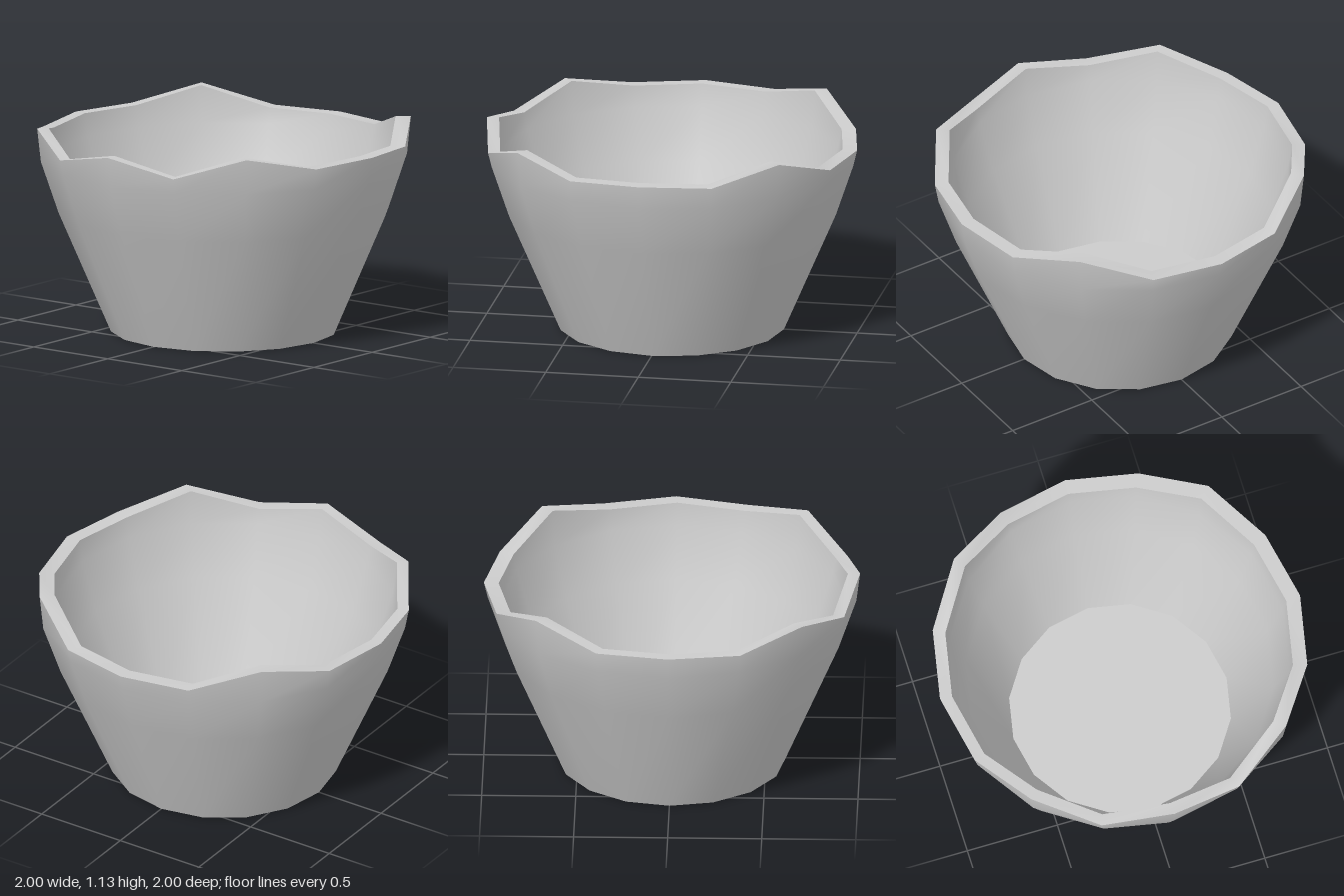
import * as THREE from 'three';

const SIDES = 16;
// Uneven rim height at each corner, from +x round towards +z
const RIM = [1.015, 1.015, 1.13, 1.045, 1.055, 1.045, 1.12, 1.01,
  1.09, 1.015, 1.11, 1.04, 1.05, 1.045, 1.13, 1.015];

// One ring of points; without a height it follows the uneven rim
function ring(radius, height, shift = 0) {
  return RIM.map((rim, k) => {
    const a = (k / SIDES) * Math.PI * 2;
    return [radius * Math.cos(a) + shift, height ?? rim, radius * Math.sin(a) + shift];
  });
}

// Smooth closed strip through a list of rings
function strip(name, rings, material) {
  const index = [];
  for (let i = 0; i < rings.length - 1; i++) {
    for (let k = 0; k < SIDES; k++) {
      const next = (k + 1) % SIDES;
      const a = i * SIDES + k, b = i * SIDES + next;
      const c = a + SIDES, d = b + SIDES;
      index.push(a, c, b, b, c, d);
    }
  }
  const geometry = new THREE.BufferGeometry();
  geometry.setAttribute('position', new THREE.Float32BufferAttribute(rings.flat(2), 3));
  geometry.setIndex(index);
  geometry.computeVertexNormals();
  const mesh = new THREE.Mesh(geometry, material);
  mesh.name = name;
  return mesh;
}

// Flat polygon closing the bowl at a height
function disc(name, radius, height, facing, material) {
  const geometry = new THREE.CircleGeometry(radius, SIDES);
  geometry.rotateX(-facing * Math.PI / 2);
  const mesh = new THREE.Mesh(geometry, material);
  mesh.position.y = height;
  mesh.name = name;
  return mesh;
}

export function createModel() {
  const group = new THREE.Group();
  group.name = 'bowl';
  const material = new THREE.MeshStandardMaterial({ color: 0xcccccc });

  const outerRim = ring(1);
  const innerRim = ring(0.928, undefined, -0.007);
  const floorHeight = 0.1;

  group.add(
    strip('outerWall', [ring(0.605, 0), ring(0.885, 0.65), ring(0.98, 0.93), outerRim], material),
    strip('rim', [outerRim, innerRim], material),
    strip('innerWall', [innerRim, ring(0.908, 0.93, -0.005), ring(0.82, 0.65, -0.003), ring(0.592, floorHeight)], material),
    disc('innerFloor', 0.592, floorHeight, 1, material),
    disc('base', 0.605, 0, -1, material),
  );
  return group;
}
